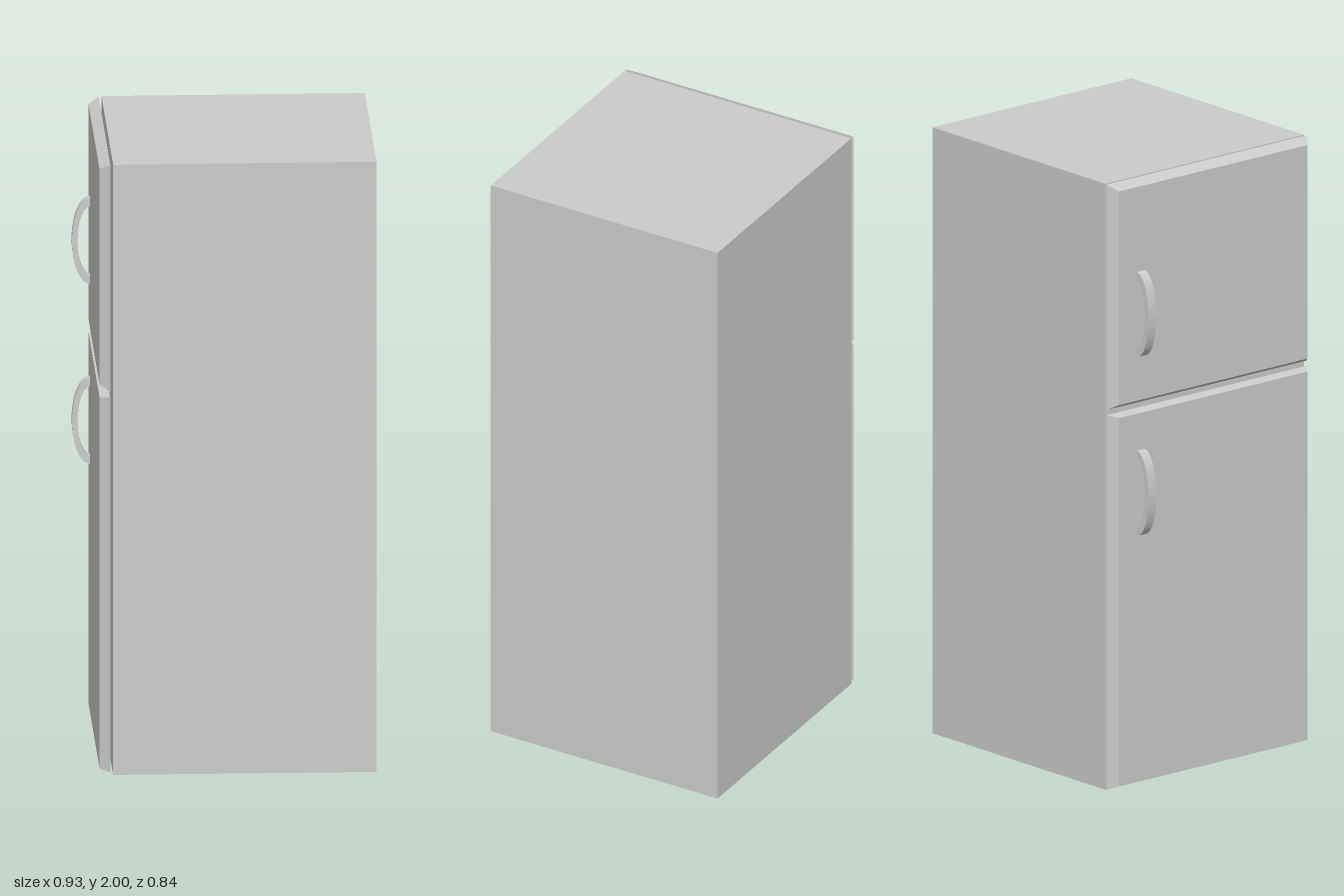
import * as THREE from 'three';

const material = new THREE.MeshStandardMaterial({ color: 0xcccccc, flatShading: true });

// Door slab on the -x side: full size at its back, tapered towards its outer face
function makeDoor(name, back, outer) {
  const geometry = new THREE.BoxGeometry(1, 1, 1);
  const p = geometry.attributes.position;
  for (let i = 0; i < p.count; i++) {
    const isOuter = p.getX(i) < 0;
    const [y0, y1, z0, z1] = isOuter ? outer : back;
    p.setXYZ(i, isOuter ? -0.41 : -0.377, p.getY(i) < 0 ? y0 : y1, p.getZ(i) < 0 ? z0 : z1);
  }
  geometry.computeVertexNormals();
  const mesh = new THREE.Mesh(geometry, material);
  mesh.name = name;
  return mesh;
}

// Bow handle: half-ellipse band with a rectangular section
function makeHandle(name, y) {
  const shape = new THREE.Shape();
  shape.absellipse(0, 0, 0.057, 0.14, Math.PI / 2, Math.PI * 1.5, false);
  shape.lineTo(0, -0.113);
  shape.absellipse(0, 0, 0.039, 0.113, Math.PI * 1.5, Math.PI / 2, true);
  shape.closePath();
  const geometry = new THREE.ExtrudeGeometry(shape, { depth: 0.033, bevelEnabled: false, curveSegments: 16 });
  const mesh = new THREE.Mesh(geometry, material);
  mesh.name = name;
  mesh.position.set(-0.41, y, -0.323);
  return mesh;
}

export function createModel() {
  const model = new THREE.Group();
  model.name = 'refrigerator';

  // Cabinet
  const cabinet = new THREE.Mesh(new THREE.BoxGeometry(0.834, 2, 0.833), material);
  cabinet.name = 'cabinet';
  cabinet.position.set(0.049, 1, -0.0015);
  model.add(cabinet);

  // Doors: [bottom, top, zMin, zMax] of the back and outer faces
  model.add(makeDoor('freezerDoor', [1.256, 2, -0.42, 0.417], [1.275, 1.98, -0.397, 0.393]));
  model.add(makeDoor('fridgeDoor', [0.009, 1.239, -0.42, 0.417], [0.016, 1.232, -0.397, 0.393]));

  // Handles
  model.add(makeHandle('freezerHandle', 1.56));
  model.add(makeHandle('fridgeHandle', 0.97));
  return model;
}
